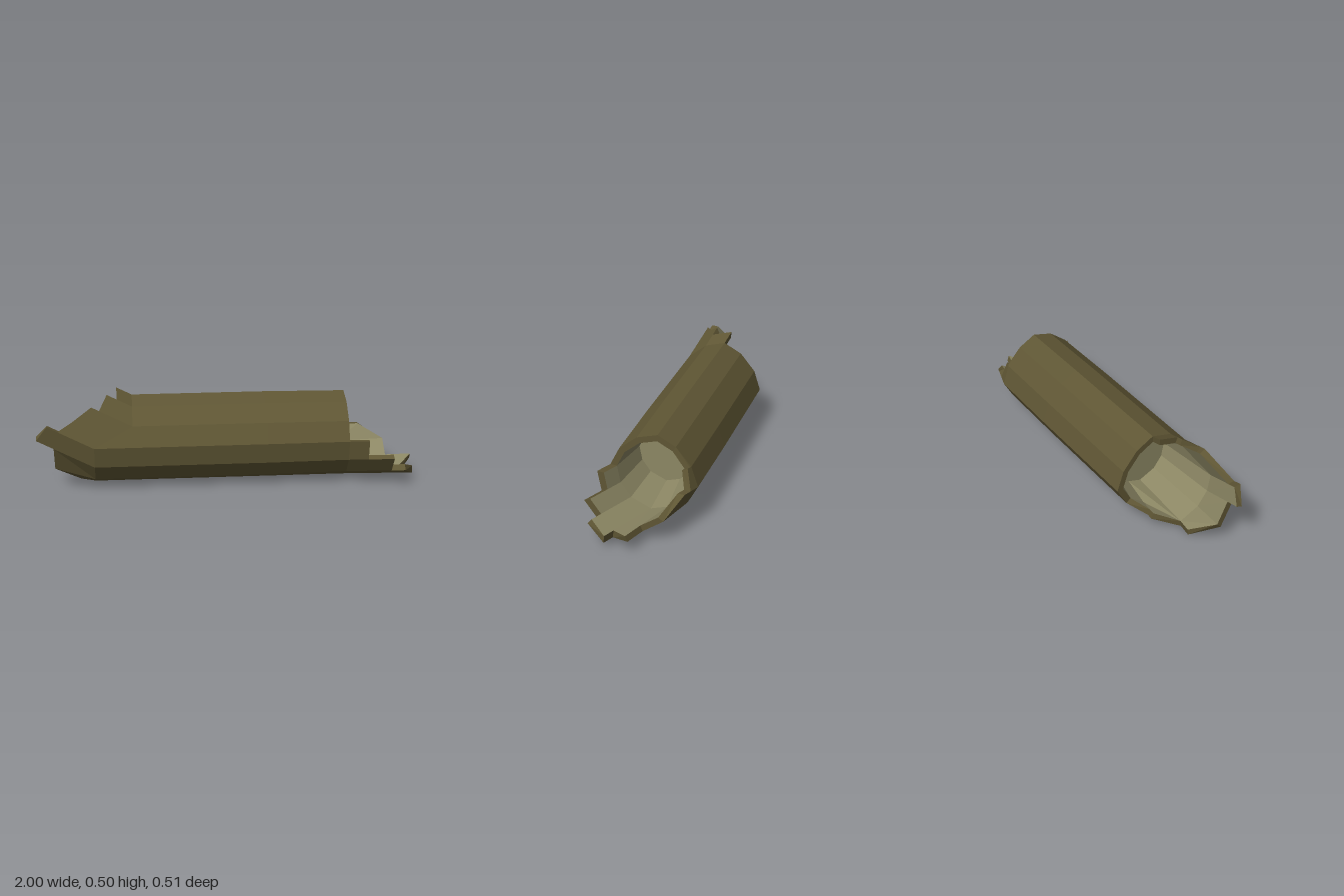
import * as THREE from 'three';

// Cross-section of the log as [z, y], running top -> front -> bottom -> back
const RING = [
  [-0.045, 0.468], [0.065, 0.437], [0.16, 0.36], [0.21, 0.26], [0.19, 0.15], [0.125, 0.06],
  [0, 0.003], [-0.105, 0.035], [-0.2, 0.11], [-0.255, 0.21], [-0.22, 0.32], [-0.14, 0.417],
];
const N = RING.length;
const CENTRE = [-0.025, 0.235];

// Where each stave breaks off, at its two edges
const LEFT_BREAK = [
  [0.63, 0.63], [0.63, 0.63], [0.63, 0.63], [0.73, 0.73], [0.86, 0.86], [0.93, 0.99],
  [0.92, 1], [0.87, 0.87], [0.87, 0.74], [0.69, 0.66], [0.64, 0.63], [0.63, 0.63],
];
const RIGHT_BREAK = [
  [-0.58, -0.58], [-0.63, -0.67], [-0.71, -0.88], [-0.94, -1], [-0.91, -0.91], [-0.91, -0.78],
  [-0.7, -0.62], [-0.58, -0.5], [-0.5, -0.5], [-0.5, -0.5], [-0.5, -0.5], [-0.5, -0.5],
];
// Where the broken end starts to bend
const rightOnset = (i) => (i >= 3 && i <= 6 ? -0.7 : -0.5);
const leftOnset = () => 0.63;

// Point on edge i at x; scale pulls it towards the axis, splinters bend away past the onset
function point(i, x, scale) {
  i %= N;
  const [rz, ry] = RING[i];
  const s = scale * (x > 0.2 ? 0.98 : 1);
  let z = CENTRE[0] + (rz - CENTRE[0]) * s;
  let y = CENTRE[1] + (ry - CENTRE[1]) * s;
  if (scale === 1 && i === 6) y = ry;
  const dl = Math.max(0, x - leftOnset());
  const dr = Math.max(0, rightOnset(i) - x);
  z += dl * (i === 7 ? 0.23 : i === 8 ? 0.18 : 0.3) - dr * 0.2;
  y += dl * 0.1 + dr * Math.min(0.45, 0.1 + 2.3 * ry);
  return [x, y, z];
}

const quad = (out, a, b, c, d) => out.push(...a, ...b, ...c, ...a, ...c, ...d);

function makeMesh(name, positions, material) {
  const g = new THREE.BufferGeometry();
  g.setAttribute('position', new THREE.Float32BufferAttribute(positions, 3));
  g.computeVertexNormals();
  const mesh = new THREE.Mesh(g, material);
  mesh.name = name;
  return mesh;
}

export function createModel() {
  const bark = new THREE.MeshStandardMaterial({ color: 0x5f5634, flatShading: true, side: THREE.DoubleSide });
  const wood = new THREE.MeshStandardMaterial({ color: 0x8c8764, flatShading: true, side: THREE.DoubleSide });
  const IN = 0.85, DEEP = 0.7;
  const shell = [], rims = [], inner = [], caps = [];

  for (let i = 0; i < N; i++) {
    const j = i + 1;
    const P = (k, x, s) => point(k, x, s);

    // Straight bark between the two bends
    const r0 = [rightOnset(i), rightOnset(j % N)].map((o, k) => Math.max(o, RIGHT_BREAK[i][k]));
    const l0 = [leftOnset(), leftOnset()];
    const mid = [0.2, 0.2];
    quad(shell, P(i, r0[0], 1), P(j, r0[1], 1), P(j, mid[1], 1), P(i, mid[0], 1));
    quad(shell, P(i, mid[0], 1), P(j, mid[1], 1), P(j, l0[1], 1), P(i, l0[0], 1));

    // Splintered staves, rims and hollow at both ends
    for (const [tip, base, depth, left] of [
      [LEFT_BREAK[i], l0, 0.4, true], [RIGHT_BREAK[i], r0, -0.35, false],
    ]) {
      const face = (out, a, b, c, d) => (left ? quad(out, a, b, c, d) : quad(out, d, c, b, a));
      const oa = P(i, tip[0], 1), ob = P(j, tip[1], 1);
      const ia = P(i, tip[0], IN), ib = P(j, tip[1], IN);
      const oa0 = P(i, base[0], 1), ob0 = P(j, base[1], 1);
      const ia0 = P(i, base[0], IN), ib0 = P(j, base[1], IN);
      const da = P(i, depth, DEEP), db = P(j, depth, DEEP);
      if (Math.abs(tip[0] - base[0]) + Math.abs(tip[1] - base[1]) > 0.001) {
        face(shell, oa0, ob0, ob, oa);
        face(inner, ia0, ia, ib, ib0);
        face(rims, oa0, oa, ia, ia0);
        face(rims, ob0, ib0, ib, ob);
      }
      face(rims, oa, ob, ib, ia);
      face(inner, da, ia0, ib0, db);
      const c = [depth, CENTRE[1], CENTRE[0]];
      caps.push(...(left ? [...c, ...da, ...db] : [...c, ...db, ...da]));
    }
  }

  const log = new THREE.Group();
  log.name = 'hollowLog';
  log.add(
    makeMesh('bark', shell, bark),
    makeMesh('brokenEdges', rims, bark),
    makeMesh('hollowWalls', inner, wood),
    makeMesh('hollowEnds', caps, wood),
  );
  return log;
}
